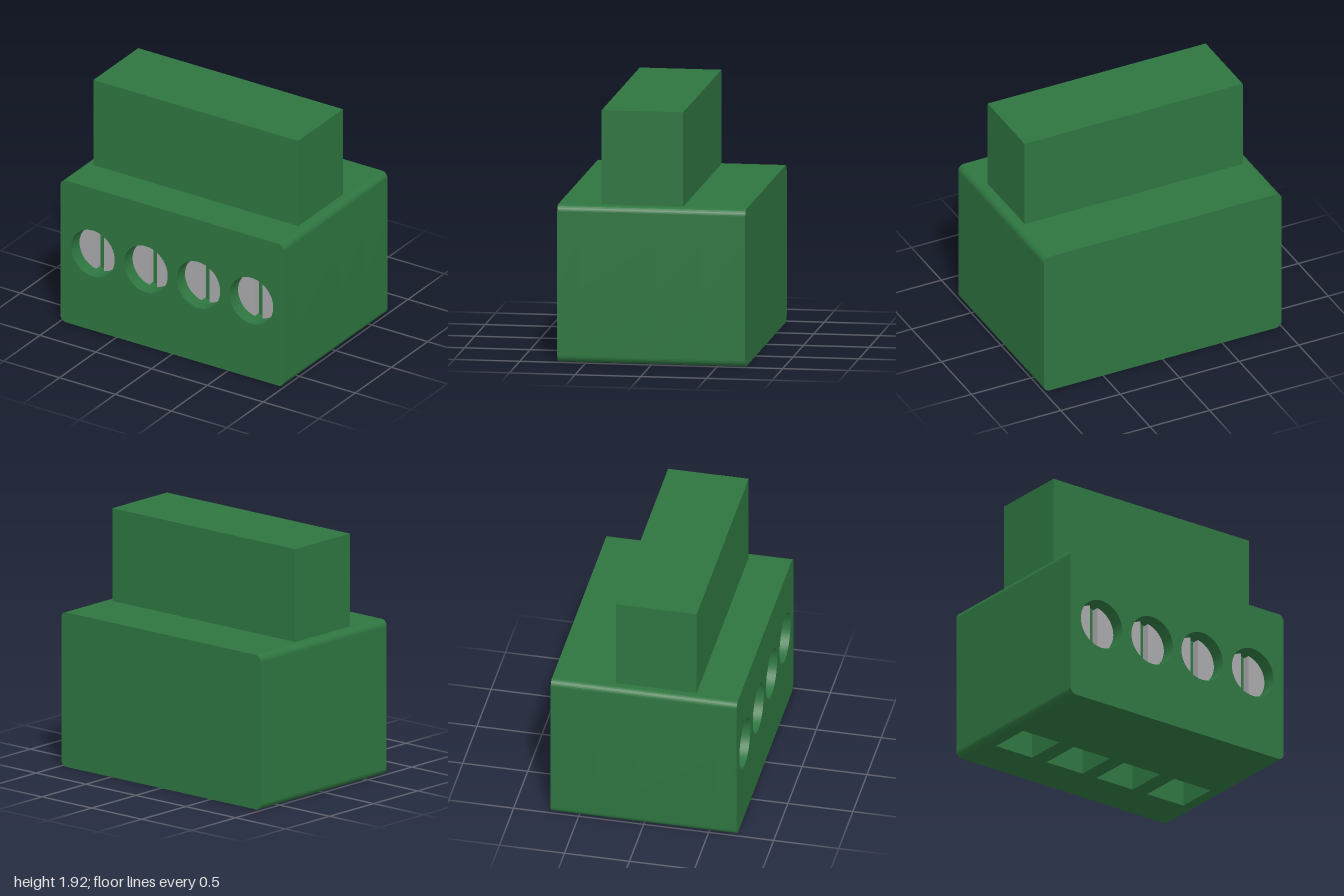
import * as THREE from 'three';
import { toCreasedNormals } from 'three/addons/utils/BufferGeometryUtils.js';

const W = 1, H = 1.2, D = 0.715, R = 0.05;      // housing half width, height, half depth, corner radius
const POLES = [-0.71, -0.235, 0.235, 0.71];     // x of each terminal
const SCREW_Y = 0.65, HOLE_R = 0.195, SCREW_R = 0.185, SLOT = 0.07;
const FLOOR_Z = 0.555, SCREW_H = 0.06;          // bottom of the screw holes, height of a screw head
const WIRE = { half: 0.17, depth: 0.6, back: -0.38, front: -0.04 };

// Rounded housing section, optionally notched along its bottom edge
function section(notched) {
  const s = new THREE.Shape();
  s.moveTo(-W + R, 0);
  if (notched) {
    for (const x of POLES) {
      s.lineTo(x - WIRE.half, 0);
      s.lineTo(x - WIRE.half, WIRE.depth);
      s.lineTo(x + WIRE.half, WIRE.depth);
      s.lineTo(x + WIRE.half, 0);
    }
  }
  s.lineTo(W - R, 0);
  s.absarc(W - R, R, R, -Math.PI / 2, 0, false);
  s.absarc(W - R, H - R, R, 0, Math.PI / 2, false);
  s.absarc(-W + R, H - R, R, Math.PI / 2, Math.PI, false);
  s.absarc(-W + R, R, R, Math.PI, Math.PI * 1.5, false);
  return s;
}

// Extrude a shape between two z positions, smooth on curves and sharp on edges
function slab(shape, z0, z1) {
  const g = new THREE.ExtrudeGeometry(shape, { depth: z1 - z0, bevelEnabled: false, curveSegments: 24 });
  g.translate(0, 0, z0);
  return toCreasedNormals(g, 0.5);
}

export function createModel() {
  const green = new THREE.MeshStandardMaterial({ color: 0x2e7540 });
  green.name = 'green plastic';
  const grey = new THREE.MeshStandardMaterial({ color: 0xa9a9ac });
  grey.name = 'grey metal';

  const model = new THREE.Group();
  model.name = 'terminalBlock';
  const add = (parent, name, geometry, material) => {
    const mesh = new THREE.Mesh(geometry, material);
    mesh.name = name;
    parent.add(mesh);
    return mesh;
  };

  // Housing in slices: back wall, wire openings, core, front plate with screw holes
  const housing = new THREE.Group();
  housing.name = 'housing';
  model.add(housing);
  const front = section(false);
  for (const x of POLES) {
    const hole = new THREE.Path();
    hole.absarc(x, SCREW_Y, HOLE_R, 0, Math.PI * 2, true);
    front.holes.push(hole);
  }
  add(housing, 'backWall', slab(section(false), -D, WIRE.back), green);
  add(housing, 'wireOpenings', slab(section(true), WIRE.back, WIRE.front), green);
  add(housing, 'core', slab(section(false), WIRE.front, FLOOR_Z), green);
  add(housing, 'frontPlate', slab(front, FLOOR_Z, D), green);

  // Plug block on top
  add(model, 'plugBlock', new THREE.BoxGeometry(1.834, 0.72, 0.62), green).position.set(0, 1.56, 0.08);

  // Slotted screw heads, each made of two half discs
  const a = Math.acos(SLOT / 2 / SCREW_R);
  const half = new THREE.Shape();
  half.absarc(0, 0, SCREW_R, -a, a, false);
  half.closePath();
  const halfGeometry = slab(half, 0, SCREW_H);
  POLES.forEach((x, i) => {
    const screw = new THREE.Group();
    screw.name = `screw${i + 1}`;
    screw.position.set(x, SCREW_Y, FLOOR_Z);
    add(screw, 'screwHalfLeft', halfGeometry, grey);
    add(screw, 'screwHalfRight', halfGeometry, grey).rotation.z = Math.PI;
    model.add(screw);
  });

  return model;
}
